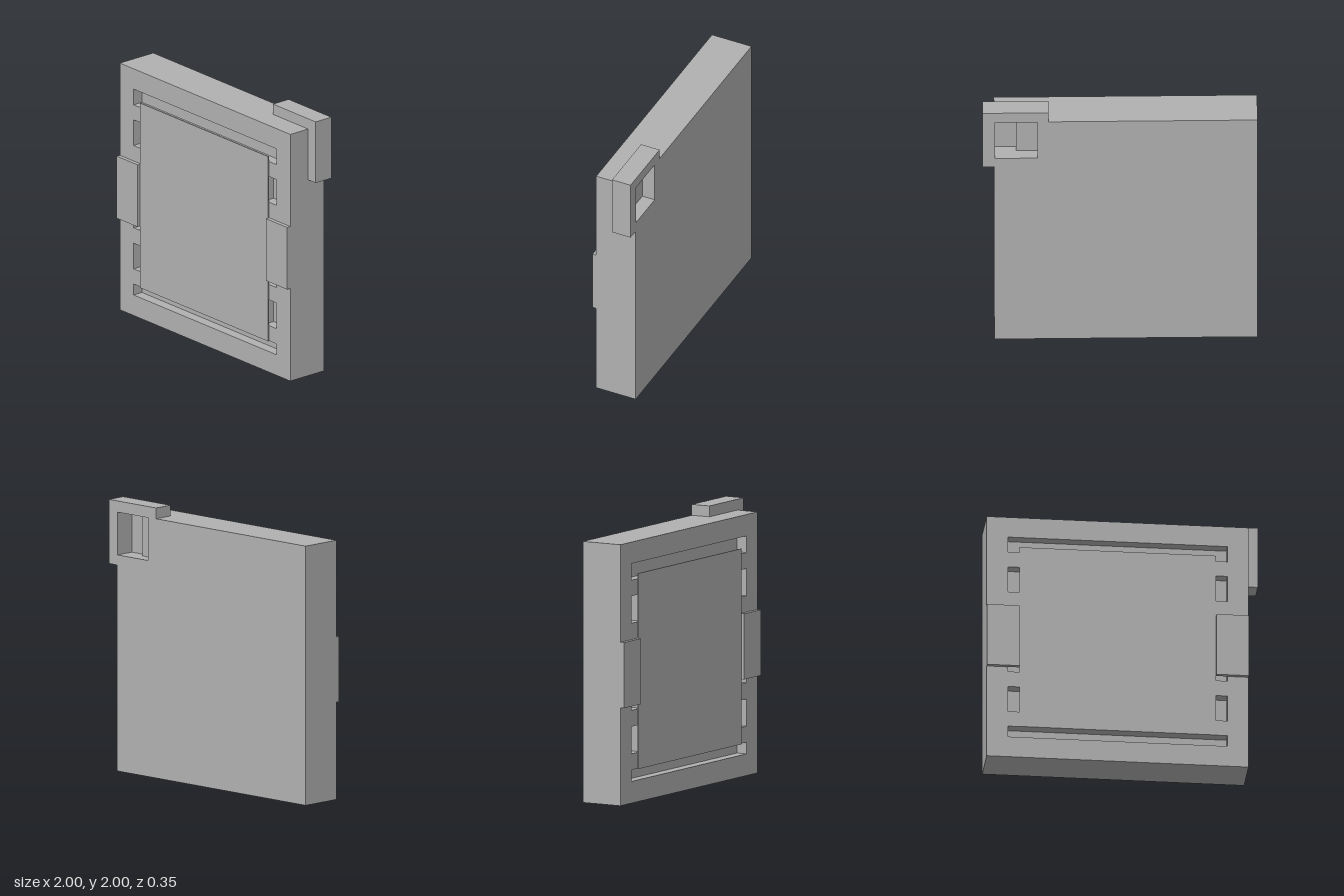
import * as THREE from 'three';

const grey = new THREE.MeshStandardMaterial({ color: 0xb0b0b0 });
grey.name = 'grey';

const rect = (x0, x1, y0, y1) => [[x0, y0], [x1, y0], [x1, y1], [x0, y1]];
const toPoints = (list) => list.map(([x, y]) => new THREE.Vector2(x, y));

// Flat layer from z0 to z1 with optional cut-outs
function layer(name, outline, z0, z1, holes = []) {
  const shape = new THREE.Shape(toPoints(outline));
  shape.holes = holes.map((h) => new THREE.Path(toPoints(h)));
  const geometry = new THREE.ExtrudeGeometry(shape, { depth: z1 - z0, bevelEnabled: false });
  geometry.translate(0, 0, z0);
  const mesh = new THREE.Mesh(geometry, grey);
  mesh.name = name;
  return mesh;
}

export function createModel() {
  const model = new THREE.Group();
  model.name = 'panelCase';

  const L = -1, R = 0.915, T = 1.92;
  const BACK = -0.175, MID = -0.025, FLOOR = 0.065, FACE = 0.145;

  // Back layer with the projecting corner bracket and its square pocket
  const backOutline = [
    [L, 0], [R, 0], [R, 1.525], [1, 1.525], [1, 2], [0.52, 2], [0.52, T], [L, T],
  ];
  model.add(layer('backWithCornerBracket', backOutline, BACK, MID, [rect(0.6, 0.912, 1.6, 1.917)]));
  model.add(layer('pocketStep', rect(0.6, 0.756, 1.6, 1.917), -0.075, MID));

  // Solid core
  model.add(layer('core', rect(L, R, 0, T), MID, FLOOR));

  // Front layer with long slots and four notches down each side
  const slots = [rect(-0.845, 0.76, 0.16, 0.245), rect(-0.845, 0.76, 1.64, 1.762)];
  for (let i = 0; i < 4; i++) {
    const y = 0.363 + i * 0.32;
    slots.push(rect(-0.845, -0.72, y, y + 0.2), rect(0.635, 0.76, y, y + 0.2));
  }
  model.add(layer('frontFrame', rect(L, R, 0, T), FLOOR, FACE, slots));

  // Thin raised panel and the two side clips
  model.add(layer('frontPanel', rect(-0.76, 0.675, 0.242, 1.68), FACE, 0.154));
  model.add(layer('rightClip', rect(L, -0.763, 0.72, 1.203), FACE, 0.175));
  model.add(layer('leftClip', rect(0.678, R, 0.72, 1.203), FACE, 0.175));

  return model;
}
